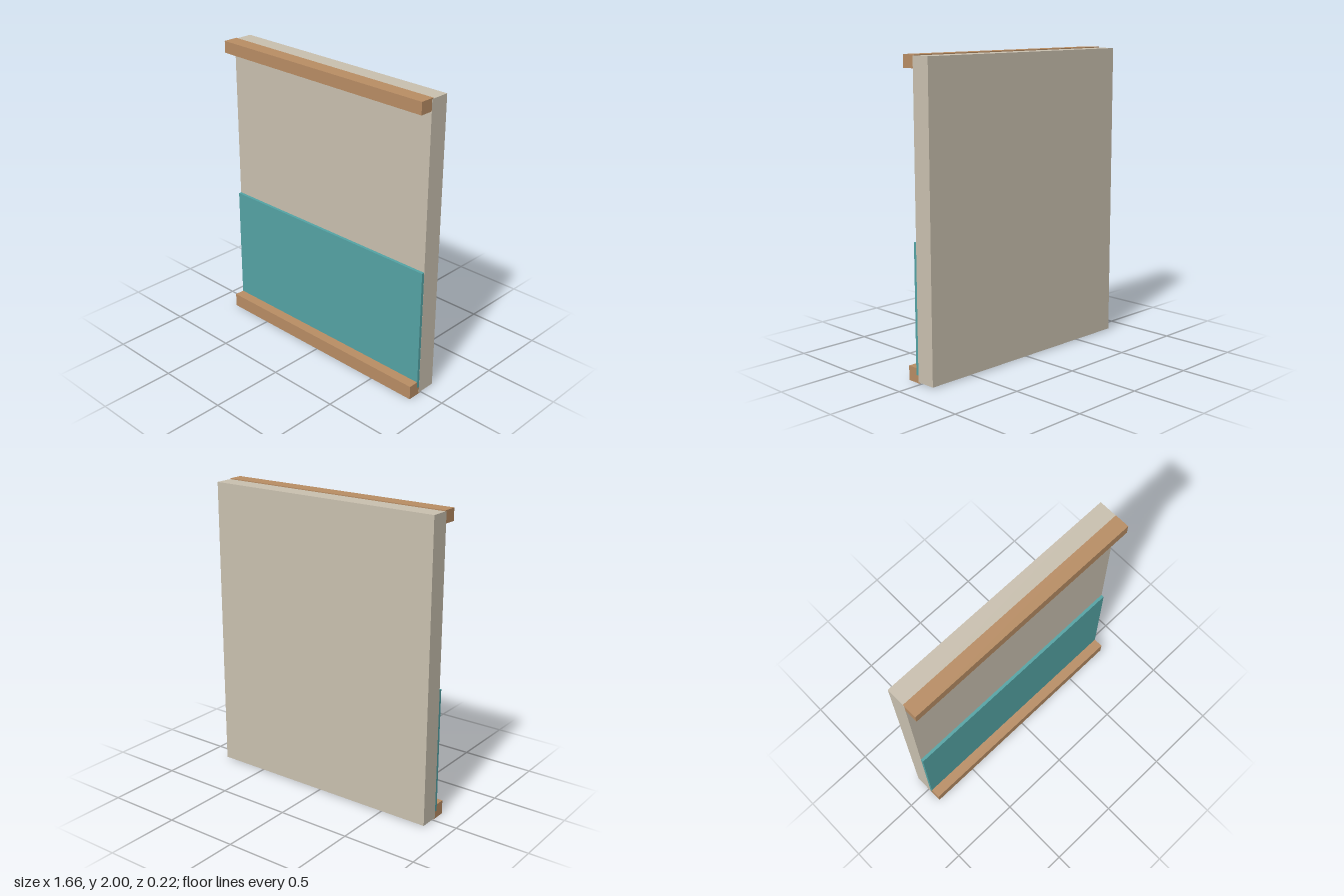
import * as THREE from 'three';

function material(name, color) {
  const m = new THREE.MeshStandardMaterial({ color });
  m.name = name;
  return m;
}

export function createModel() {
  const group = new THREE.Group();
  group.name = 'wallPanel';

  const plaster = material('plaster', 0xc9c0af);
  const teal = material('tealPaint', 0x54a3a4);
  const wood = material('wood', 0xb88d64);

  // Box given by its half width and its y and z ranges
  const slab = (name, mat, halfWidth, [y0, y1], [z0, z1]) => {
    const mesh = new THREE.Mesh(new THREE.BoxGeometry(halfWidth * 2, y1 - y0, z1 - z0), mat);
    mesh.position.set(0, (y0 + y1) / 2, (z0 + z1) / 2);
    mesh.name = name;
    group.add(mesh);
  };

  // Main wall, a hair wider than the trims so side faces do not coincide
  slab('wall', plaster, 0.829, [0.008, 1.994], [-0.111, 0.022]);
  // Painted lower panel
  slab('wainscot', teal, 0.8285, [0.05, 0.885], [0.015, 0.042]);
  // Wooden trims at the floor and ceiling
  slab('baseboard', wood, 0.828, [0, 0.094], [0.012, 0.111]);
  slab('crownMoulding', wood, 0.828, [1.92, 2], [0.012, 0.111]);

  return group;
}
